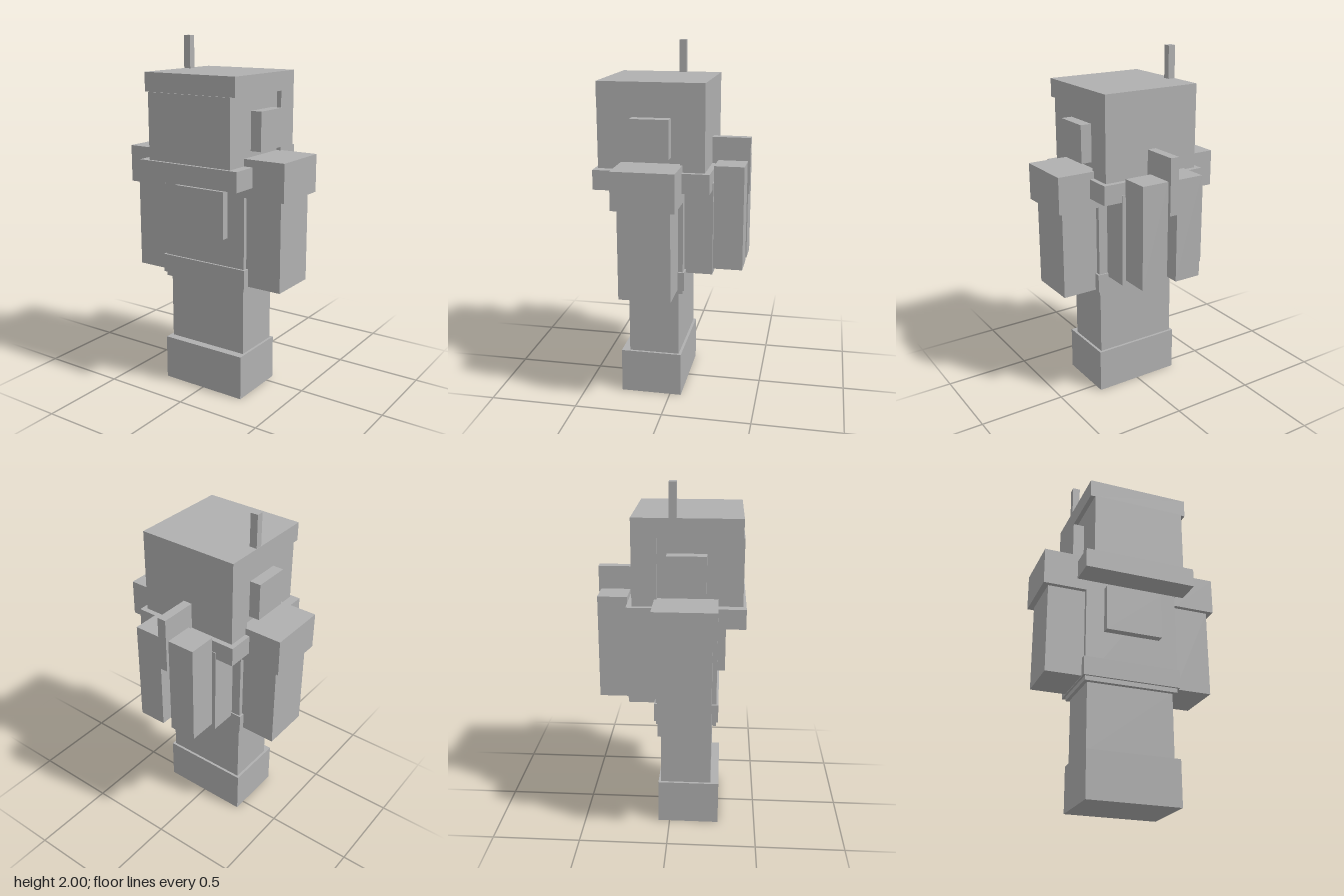
import * as THREE from 'three';

export function createModel() {
  const model = new THREE.Group();
  model.name = 'blockyAstronaut';
  const grey = new THREE.MeshStandardMaterial({ color: 0xb0b0b0 });
  grey.name = 'suit grey';

  // Box given by its extents on each axis
  function block(name, [x0, x1], [y0, y1], [z0, z1]) {
    const mesh = new THREE.Mesh(new THREE.BoxGeometry(x1 - x0, y1 - y0, z1 - z0), grey);
    mesh.position.set((x0 + x1) / 2, (y0 + y1) / 2, (z0 + z1) / 2);
    mesh.name = name;
    model.add(mesh);
  }
  // Box centred on x = 0
  const centred = (name, half, y, z) => block(name, [-half, half], y, z);
  // Mirrored pair of boxes
  function pair(name, [x0, x1], y, z) {
    block('left' + name, [x0, x1], y, z);
    block('right' + name, [-x1, -x0], y, z);
  }

  // Legs and torso
  centred('boots', 0.262, [0, 0.256], [-0.065, 0.285]);
  centred('legs', 0.247, [0.256, 0.635], [-0.05, 0.238]);
  centred('torso', 0.267, [0.635, 1.36], [-0.077, 0.263]);
  centred('belt', 0.278, [0.66, 0.766], [-0.085, 0.275]);
  centred('chestPanel', 0.162, [0.93, 1.195], [0.25, 0.307]);

  // Arms
  pair('Arm', [0.267, 0.48], [0.665, 1.17], [-0.05, 0.238]);
  pair('ShoulderPad', [0.267, 0.512], [1.17, 1.38], [-0.079, 0.264]);

  // Head and helmet: a top slab and a back shell
  centred('collar', 0.32, [1.23, 1.34], [-0.23, 0.413]);
  centred('head', 0.267, [1.34, 1.71], [-0.065, 0.395]);
  centred('helmetTop', 0.293, [1.71, 1.815], [-0.2, 0.388]);
  centred('helmetBack', 0.293, [1.34, 1.71], [-0.2, -0.065]);
  pair('Earpiece', [0.267, 0.331], [1.412, 1.625], [-0.012, 0.2]);
  block('antenna', [-0.291, -0.248], [1.815, 2], [0, 0.04]);

  // Backpack
  centred('backpackPlate', 0.213, [0.745, 1.27], [-0.235, -0.077]);
  pair('Tank', [0.03, 0.191], [0.772, 1.36], [-0.4, -0.235]);
  centred('backpackFin', 0.026, [1.17, 1.49], [-0.414, -0.2]);

  return model;
}
